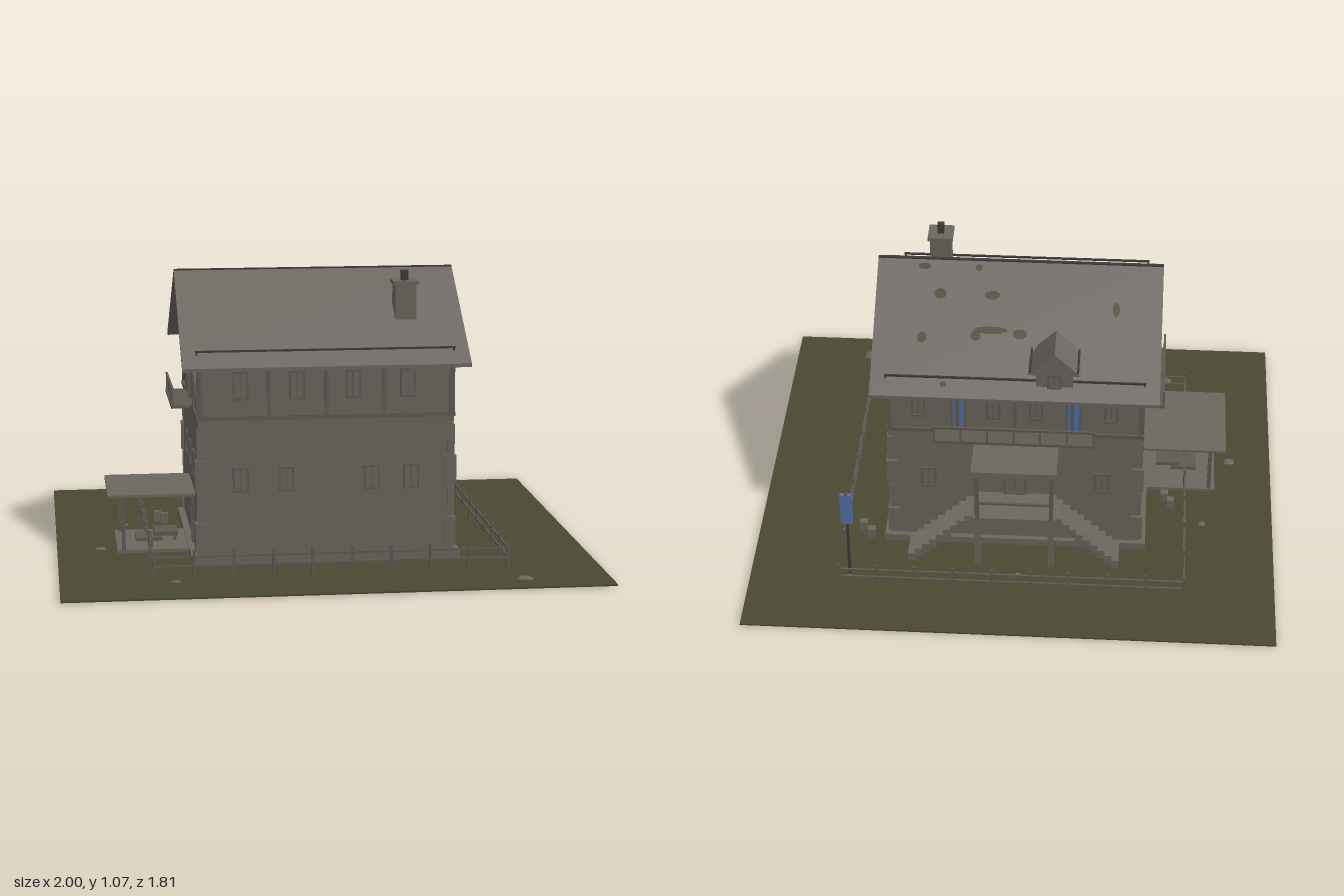
import * as THREE from 'three';

const flat = (name, color) => Object.assign(new THREE.MeshStandardMaterial({ color }), { name });

export function createModel() {
  const wall = flat('wall grey', 0x6a675e);
  const roofMat = flat('roof tile', 0x6d6762);
  const timber = flat('weathered timber', 0x5f5b53);
  const dark = flat('dark metal', 0x3d3b38);
  const blue = flat('blue panel', 0x5070a8);
  const grass = flat('grass', 0x4a4831);
  const model = new THREE.Group();

  function part(name, mat, geo, parent = model) {
    const m = new THREE.Mesh(geo, mat);
    m.name = name;
    parent.add(m);
    return m;
  }
  // box from its limits
  const box = (name, mat, x0, x1, y0, y1, z0, z1, parent) => {
    const m = part(name, mat, new THREE.BoxGeometry(x1 - x0, y1 - y0, z1 - z0), parent);
    m.position.set((x0 + x1) / 2, (y0 + y1) / 2, (z0 + z1) / 2);
    return m;
  };
  // square bar between two points
  const bar = (name, mat, a, b, t, parent) => {
    const p = new THREE.Vector3(...a), q = new THREE.Vector3(...b);
    const m = part(name, mat, new THREE.BoxGeometry(t, t, p.distanceTo(q)), parent);
    m.position.copy(p).lerp(q, 0.5);
    m.lookAt(q);
    return m;
  };
  // outline of [z, y] points, drawn out along x
  const prism = (name, mat, pts, x0, x1, parent) => {
    const shape = new THREE.Shape(pts.map(p => new THREE.Vector2(...p)));
    const geo = new THREE.ExtrudeGeometry(shape, { depth: x1 - x0, bevelEnabled: false });
    geo.rotateY(-Math.PI / 2).translate(x1, 0, 0);
    return part(name, mat, geo, parent);
  };
  const group = (name) => {
    const g = new THREE.Group();
    g.name = name;
    model.add(g);
    return g;
  };

  // ground and plinth
  box('ground', grass, -1, 1, 0, 0.006, -0.905, 0.905);
  box('plinth', wall, -0.505, 0.505, 0.006, 0.035, -0.4, 0.44);

  // house body
  box('lowerWalls', wall, -0.48, 0.48, 0.03, 0.55, -0.38, 0.42);
  box('floorBeam', timber, -0.485, 0.485, 0.545, 0.562, -0.392, 0.427);
  prism('upperWalls', wall, [[-0.385, 0.56], [0.42, 0.56], [0.42, 0.755], [0.015, 1.035], [-0.385, 0.755]], -0.475, 0.475);

  // staggered corner stones
  const quoins = group('cornerStones');
  for (const sx of [-1, 1]) for (const z of [-0.38, 0.42]) for (let i = 0; i < 4; i++) {
    const s = i % 2 ? 0.022 : 0.034, out = i % 2 ? 0.004 : 0.01;
    const zin = z > 0 ? -1 : 1, y = 0.05 + i * 0.155 * 0.76;
    const xs = [sx * (0.48 + out), sx * (0.48 - s)].sort((a, b) => a - b);
    const zs = [z - zin * out, z + zin * s].sort((a, b) => a - b);
    box('cornerStone', wall, xs[0], xs[1], y, y + 0.11, zs[0], zs[1], quoins);
  }

  // half-timbering on both gables and the long walls
  const frame = group('timberFrame');
  for (const s of [-1, 1]) {
    const x = s * 0.476;
    for (const z of [-0.375, -0.18, 0.015, 0.22, 0.41]) bar('post', timber, [x, 0.56, z], [x, 0.75, z], 0.016, frame);
    bar('tieBeam', timber, [x, 0.75, -0.385], [x, 0.75, 0.42], 0.016, frame);
    bar('kingPost', timber, [x, 0.75, 0.015], [x, 1.02, 0.015], 0.016, frame);
    bar('collarBeam', timber, [x, 0.87, -0.21], [x, 0.87, 0.24], 0.014, frame);
    for (const d of [-1, 1]) {
      bar('gablePost', timber, [x, 0.75, 0.015 + d * 0.2], [x, 0.88, 0.015 + d * 0.2], 0.014, frame);
      bar('gableBrace', timber, [x, 0.76, 0.015 + d * 0.19], [x, 0.92, 0.015], 0.013, frame);
      bar('wallBrace', timber, [x, 0.57, 0.015 + d * 0.38], [x, 0.74, 0.015 + d * 0.22], 0.012, frame);
    }
  }
  for (const z of [-0.386, 0.421]) {
    for (const x of [-0.47, -0.215, 0, 0.215, 0.47]) bar('post', timber, [x, 0.56, z], [x, 0.75, z], 0.014, frame);
    bar('topBeam', timber, [-0.475, 0.745, z], [0.475, 0.745, z], 0.016, frame);
  }

  // windows: a pane with a frame, cross bar and sill
  const windows = group('windows');
  function windowAt(x, y, z, turn, w = 0.052, h = 0.085, pane = wall) {
    const g = new THREE.Group();
    g.name = 'window';
    g.position.set(x, y, z);
    g.rotation.y = turn;
    windows.add(g);
    box('pane', pane, -w / 2, w / 2, -h / 2, h / 2, -0.003, 0.003, g);
    for (const s of [-1, 1]) {
      box('jamb', timber, s * w / 2 - 0.004, s * w / 2 + 0.004, -h / 2, h / 2, -0.003, 0.007, g);
      box('rail', timber, -w / 2 - 0.004, w / 2 + 0.004, s * h / 2 - 0.004, s * h / 2 + 0.004, -0.003, 0.008, g);
    }
    box('mullion', timber, -0.002, 0.002, -h / 2, h / 2, 0, 0.005, g);
  }
  for (const x of [-0.32, -0.15, 0.17, 0.32]) windowAt(x, 0.32, 0.42, 0);
  for (const x of [-0.32, -0.11, 0.1, 0.305]) windowAt(x, 0.675, 0.42, 0, 0.05, 0.1);
  for (const z of [0.26, 0.07, -0.13]) {
    windowAt(0.48, 0.32, z, Math.PI / 2);
    windowAt(-0.48, 0.36, z, -Math.PI / 2);
  }
  for (const x of [-0.33, 0.33]) windowAt(x, 0.32, -0.38, Math.PI);
  for (const x of [-0.36, -0.08, 0.08, 0.36]) windowAt(x, 0.665, -0.386, Math.PI, 0.045, 0.085);
  for (const x of [-0.22, 0.21]) windowAt(x, 0.645, -0.388, Math.PI, 0.05, 0.15, blue);
  windowAt(-0.478, 0.635, -0.1, -Math.PI / 2, 0.05, 0.13, blue);
  windowAt(0, 0.335, -0.38, Math.PI, 0.08, 0.16);
  windowAt(-0.48, 0.13, 0.16, -Math.PI / 2, 0.09, 0.19);

  // main roof, snow guards and moss
  prism('roof', roofMat, [[0.472, 0.737], [0.472, 0.75], [0.015, 1.06], [-0.442, 0.75], [-0.442, 0.737], [0.015, 1.044]], -0.537, 0.537);
  bar('ridgeCap', dark, [-0.537, 1.055, 0.015], [0.537, 1.055, 0.015], 0.012);
  for (const z of [0.41, -0.383]) {
    const y = z > 0 ? 0.803 : 0.801;
    bar('snowGuard', dark, [-0.485, y, z], [0.485, y, z], 0.007);
    for (const x of [-0.48, 0.48]) bar('guardBracket', dark, [x, y - 0.025, z], [x, y, z], 0.006);
  }
  const moss = [[-0.01, -0.23, 0.028, 0.02], [0.1, -0.22, 0.065, 0.015], [0.155, -0.24, 0.02, 0.02], [0.355, -0.25, 0.018, 0.022],
    [0.1, -0.105, 0.03, 0.018], [0.295, -0.105, 0.024, 0.022], [-0.365, -0.14, 0.014, 0.03], [0.155, -0.015, 0.014, 0.014],
    [0.36, -0.015, 0.024, 0.014], [0.265, -0.4, 0.012, 0.012]];
  for (const [x, z, rx, rz] of moss) {
    const m = part('mossPatch', grass, new THREE.CircleGeometry(1, 9));
    m.scale.set(rx, rz, 1);
    m.position.set(x, 1.063 - 0.678 * (0.015 - z), z);
    m.rotation.x = -Math.PI / 2 - 0.596;
  }

  // chimney
  box('chimney', wall, 0.28, 0.36, 0.86, 1.03, 0.19, 0.268);
  box('chimneyCap', wall, 0.272, 0.368, 1.02, 1.034, 0.182, 0.276);
  box('chimneyPot', dark, 0.307, 0.333, 1.03, 1.072, 0.217, 0.243);

  // dormer on the back slope
  box('dormerBody', wall, -0.215, -0.08, 0.75, 0.855, -0.395, -0.25);
  const dormer = new THREE.Shape([[-0.245, 0.845], [-0.05, 0.845], [-0.1475, 0.942]].map(p => new THREE.Vector2(...p)));
  const dormerRoof = part('dormerRoof', roofMat, new THREE.ExtrudeGeometry(dormer, { depth: 0.15, bevelEnabled: false }));
  dormerRoof.position.z = -0.41;
  windowAt(-0.1475, 0.81, -0.396, Math.PI, 0.045, 0.055);
  for (const x of [-0.235, -0.06]) bar('dormerRail', dark, [x, 0.893, -0.31], [x, 0.893, -0.45], 0.008);

  // balconies: slab, posts and rail
  const balconies = group('balconies');
  box('balconyFloor', timber, -0.3, 0.3, 0.548, 0.56, -0.46, -0.385, balconies);
  bar('balconyRail', timber, [-0.3, 0.62, -0.455], [0.3, 0.62, -0.455], 0.008, balconies);
  for (let i = 0; i <= 6; i++) bar('balconyPost', timber, [-0.297 + i * 0.099, 0.55, -0.455], [-0.297 + i * 0.099, 0.622, -0.455], 0.007, balconies);
  box('sideBalconyFloor', timber, -0.56, -0.475, 0.548, 0.56, -0.2, 0.17, balconies);
  bar('sideBalconyRail', timber, [-0.555, 0.622, -0.2], [-0.555, 0.622, 0.17], 0.008, balconies);
  for (let i = 0; i <= 4; i++) bar('sideBalconyPost', timber, [-0.555, 0.55, -0.197 + i * 0.091], [-0.555, 0.624, -0.197 + i * 0.091], 0.007, balconies);

  // back porch with a stair on each side
  const porch = group('backPorch');
  box('porchRoof', wall, -0.165, 0.155, 0.468, 0.496, -0.56, -0.38, porch);
  box('landing', wall, -0.16, 0.15, 0.235, 0.252, -0.535, -0.38, porch);
  for (const x of [-0.145, 0.135]) {
    box('porchPost', timber, x - 0.008, x + 0.008, 0.25, 0.47, -0.535, -0.519, porch);
    box('landingSupport', wall, x - 0.012, x + 0.012, 0.006, 0.24, -0.525, -0.5, porch);
  }
  bar('porchRail', timber, [-0.15, 0.32, -0.527], [0.14, 0.32, -0.527], 0.009, porch);
  for (const s of [-1, 1]) for (let i = 0; i < 9; i++) {
    const y = 0.24 - i * 0.025, c = s * (0.17 + i * 0.0275);
    box('stairTread', wall, c - 0.015, c + 0.015, y - 0.04, y, -0.512, -0.395, porch);
  }

  // side terrace with awning
  const terrace = group('sideTerrace');
  box('awning', wall, -0.81, -0.48, 0.236, 0.246, -0.075, 0.3, terrace);
  box('terraceFloor', wall, -0.775, -0.48, 0.018, 0.03, -0.05, 0.28, terrace);
  for (const z of [-0.04, 0.27]) box('awningPost', timber, -0.758, -0.744, 0.006, 0.237, z - 0.007, z + 0.007, terrace);
  box('bench', timber, -0.7, -0.6, 0.036, 0.05, 0.06, 0.17, terrace);
  box('table', timber, -0.63, -0.54, 0.055, 0.07, 0.06, 0.17, terrace);
  for (const x of [-0.69, -0.61, -0.55]) box('benchLeg', timber, x - 0.006, x + 0.006, 0.025, x < -0.6 ? 0.04 : 0.058, 0.1, 0.13, terrace);

  // fence, open at one back corner
  const fence = group('fence');
  const runs = [[-0.655, 0.61, 0.655, 0.61, 9], [-0.655, -0.66, -0.655, 0.61, 8], [-0.655, -0.66, 0.655, -0.66, 9], [0.655, -0.46, 0.655, 0.61, 7]];
  for (const [x0, z0, x1, z1, n] of runs) {
    for (const y of [0.045, 0.08]) bar('fenceRail', timber, [x0, y, z0], [x1, y, z1], 0.007, fence);
    for (let i = 0; i <= n; i++) {
      const x = x0 + (x1 - x0) * i / n, z = z0 + (z1 - z0) * i / n;
      box('fencePost', timber, x - 0.005, x + 0.005, 0.004, 0.105, z - 0.005, z + 0.005, fence);
    }
  }

  // sign on a pole
  box('signPole', dark, 0.615, 0.625, 0.004, 0.4, -0.606, -0.596);
  box('signPanel', blue, 0.598, 0.643, 0.262, 0.4, -0.609, -0.593);

  // crates and stones
  for (const [x, z] of [[0.555, -0.41], [0.59, -0.37], [-0.6, -0.17], [-0.575, -0.13]]) box('crate', wall, x - 0.014, x + 0.014, 0.035, 0.075, z - 0.014, z + 0.014);
  const stones = [[-0.835, 0.155, 0.024], [-0.58, 0.68, 0.02], [0.685, 0.785, 0.034], [-0.725, -0.235, 0.016], [-0.02, -0.57, 0.012], [0.62, -0.615, 0.012]];
  for (const [x, z, r] of stones) {
    const m = part('stone', wall, new THREE.IcosahedronGeometry(r, 0).toNonIndexed());
    m.scale.y = 0.3;
    m.position.set(x, 0.006, z);
  }
  return model;
}
